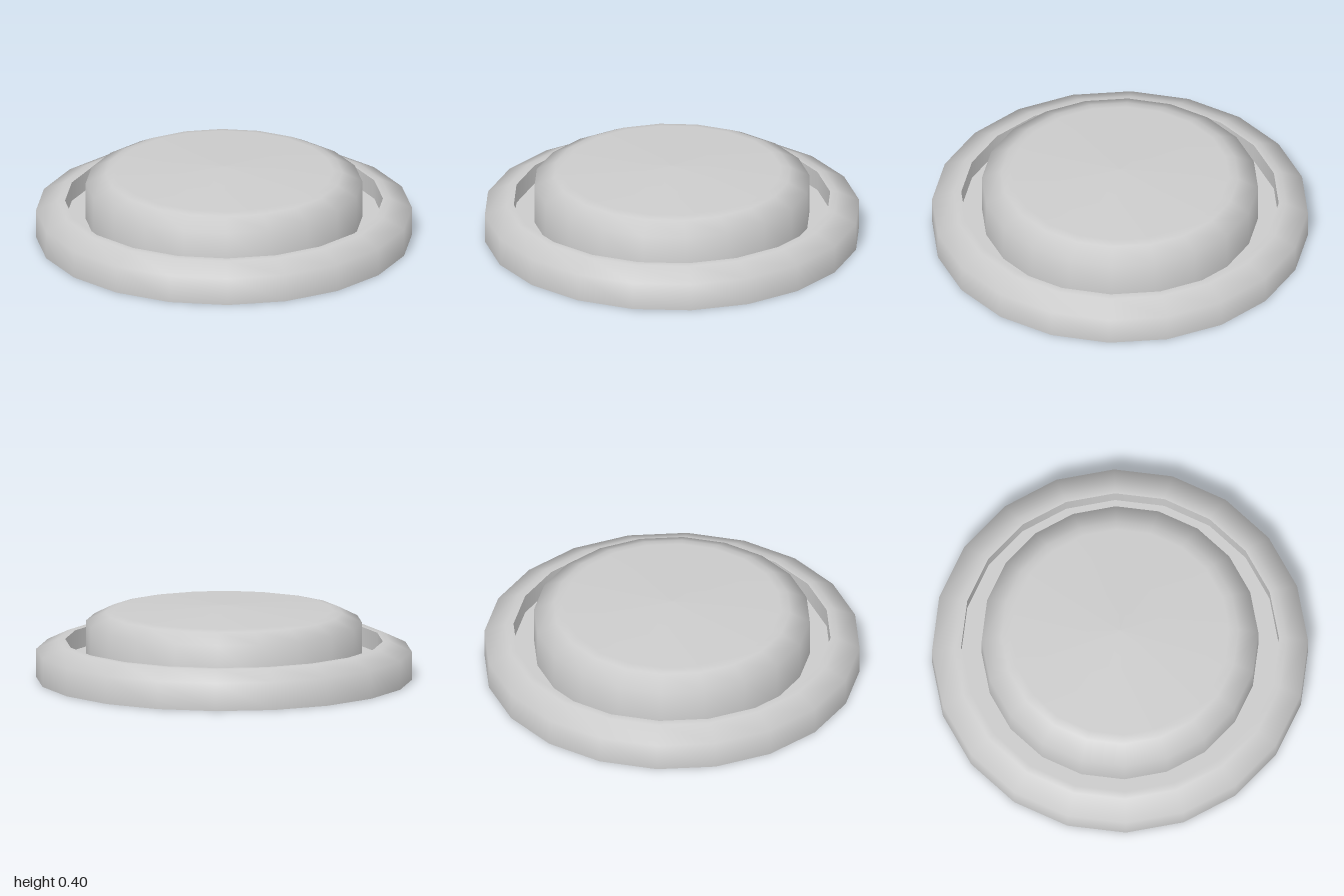
import * as THREE from 'three';

const SIDES = 20;

export function createModel() {
  const model = new THREE.Group();
  const material = new THREE.MeshStandardMaterial({ color: 0xcccccc });

  // Each section is smooth inside; edges between sections stay sharp.
  function turned(name, sections) {
    const part = new THREE.Group();
    part.name = name;
    for (const [label, points] of Object.entries(sections)) {
      const profile = points.map(([r, y]) => new THREE.Vector2(r, y));
      const mesh = new THREE.Mesh(new THREE.LatheGeometry(profile, SIDES), material);
      mesh.name = label;
      part.add(mesh);
    }
    model.add(part);
  }

  // Wide base with a bevelled rim and a sunken groove
  turned('base', {
    underside: [[0, 0], [1, 0]],
    rim: [[1, 0], [1, 0.15], [0.885, 0.205], [0.845, 0.205]],
    grooveWall: [[0.845, 0.205], [0.845, 0.1]],
    grooveFloor: [[0.845, 0.1], [0.735, 0.1]],
  });

  // Raised button with a rounded shoulder and a very shallow crown
  turned('button', {
    buttonBody: [[0.735, 0.1], [0.735, 0.305], [0.63, 0.358], [0.58, 0.368], [0, 0.395]],
  });

  return model;
}
